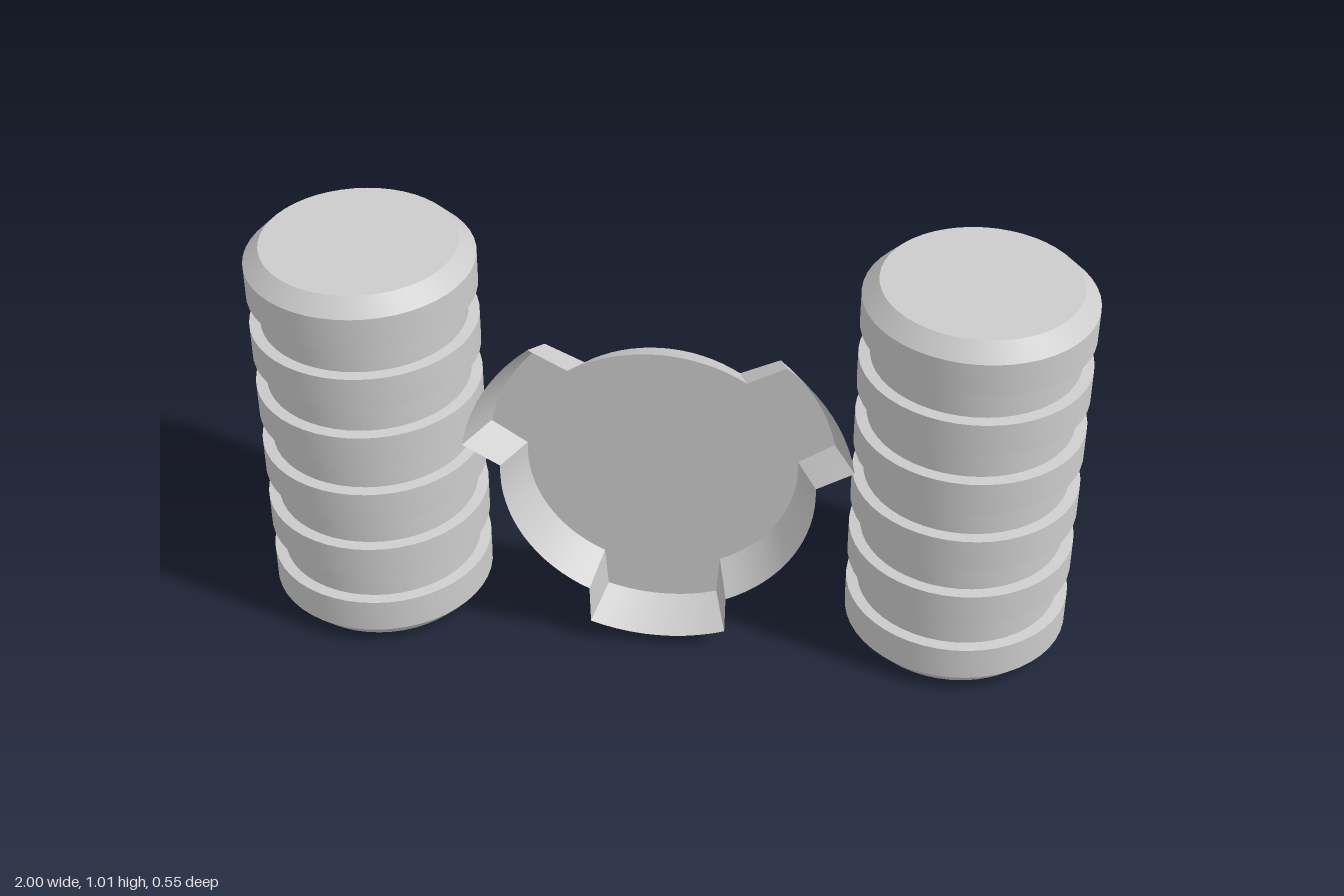
import * as THREE from 'three';
import { toCreasedNormals } from 'three/addons/utils/BufferGeometryUtils.js';

const CREASE = 0.4;

// Ribbed cylinder with chamfered ends and five square grooves
function pillarGeometry() {
  const R = 0.274, groove = 0.247, cap = 0.235;
  const pts = [[0, 0], [cap, 0], [R, 0.043]];
  for (let i = 0; i < 5; i++) {
    const y = 0.13 + i * 0.1685;
    pts.push([R, y], [groove, y + 0.003], [groove, y + 0.079], [R, y + 0.082]);
  }
  pts.push([R, 0.97], [cap, 1.01], [0, 1.01]);
  const lathe = new THREE.LatheGeometry(pts.map(([x, y]) => new THREE.Vector2(x, y)), 48);
  return toCreasedNormals(lathe, CREASE);
}

// Round outline with three lobes, one pointing straight down
function lobedOutline(lobeR, bodyR, tipHalf, rootHalf) {
  const pts = [];
  const arc = (r, from, to, n) => {
    for (let i = 0; i <= n; i++) {
      const a = from + (to - from) * i / n;
      pts.push(new THREE.Vector2(r * Math.cos(a), r * Math.sin(a)));
    }
  };
  const tip = Math.asin(tipHalf / lobeR), root = Math.asin(rootHalf / bodyR);
  const third = Math.PI * 2 / 3;
  for (let k = 0; k < 3; k++) {
    const axis = -Math.PI / 2 + k * third;
    arc(lobeR, axis - tip, axis + tip, 10);
    arc(bodyR, axis + root, axis + third - root, 16);
  }
  return pts;
}

// Sloping wall between the small back outline and the wide front outline
function wallGeometry(back, front, depth) {
  const pos = [], index = [], n = back.length;
  for (let i = 0; i < n; i++) {
    pos.push(back[i].x, back[i].y, 0, front[i].x, front[i].y, depth);
    const a = 2 * i, b = 2 * ((i + 1) % n);
    index.push(a, b, a + 1, b, b + 1, a + 1);
  }
  const g = new THREE.BufferGeometry();
  g.setAttribute('position', new THREE.Float32BufferAttribute(pos, 3));
  g.setIndex(index);
  return toCreasedNormals(g, CREASE);
}

export function createModel() {
  const model = new THREE.Group();
  const grey = new THREE.MeshStandardMaterial({ color: 0xcccccc });
  const thin = new THREE.MeshStandardMaterial({ color: 0xcccccc, side: THREE.DoubleSide });
  const mesh = (name, geometry, material) => {
    const m = new THREE.Mesh(geometry, material);
    m.name = name;
    return m;
  };

  // Pair of pillars
  const pillar = pillarGeometry();
  for (const [name, side] of [['leftPillar', 1], ['rightPillar', -1]]) {
    const m = mesh(name, pillar, grey);
    m.position.x = side * 0.726;
    model.add(m);
  }

  // Shallow three-lobed dish, open to the front
  const back = lobedOutline(0.42, 0.327, 0.135, 0.143);
  const front = lobedOutline(0.472, 0.377, 0.166, 0.168);
  const dish = new THREE.Group();
  dish.name = 'lobedDish';
  dish.position.set(0, 0.5, 0.09);
  dish.add(
    mesh('dishFloor', new THREE.ShapeGeometry(new THREE.Shape(back)), thin),
    mesh('dishWall', wallGeometry(back, front, 0.1), thin)
  );
  model.add(dish);
  return model;
}
